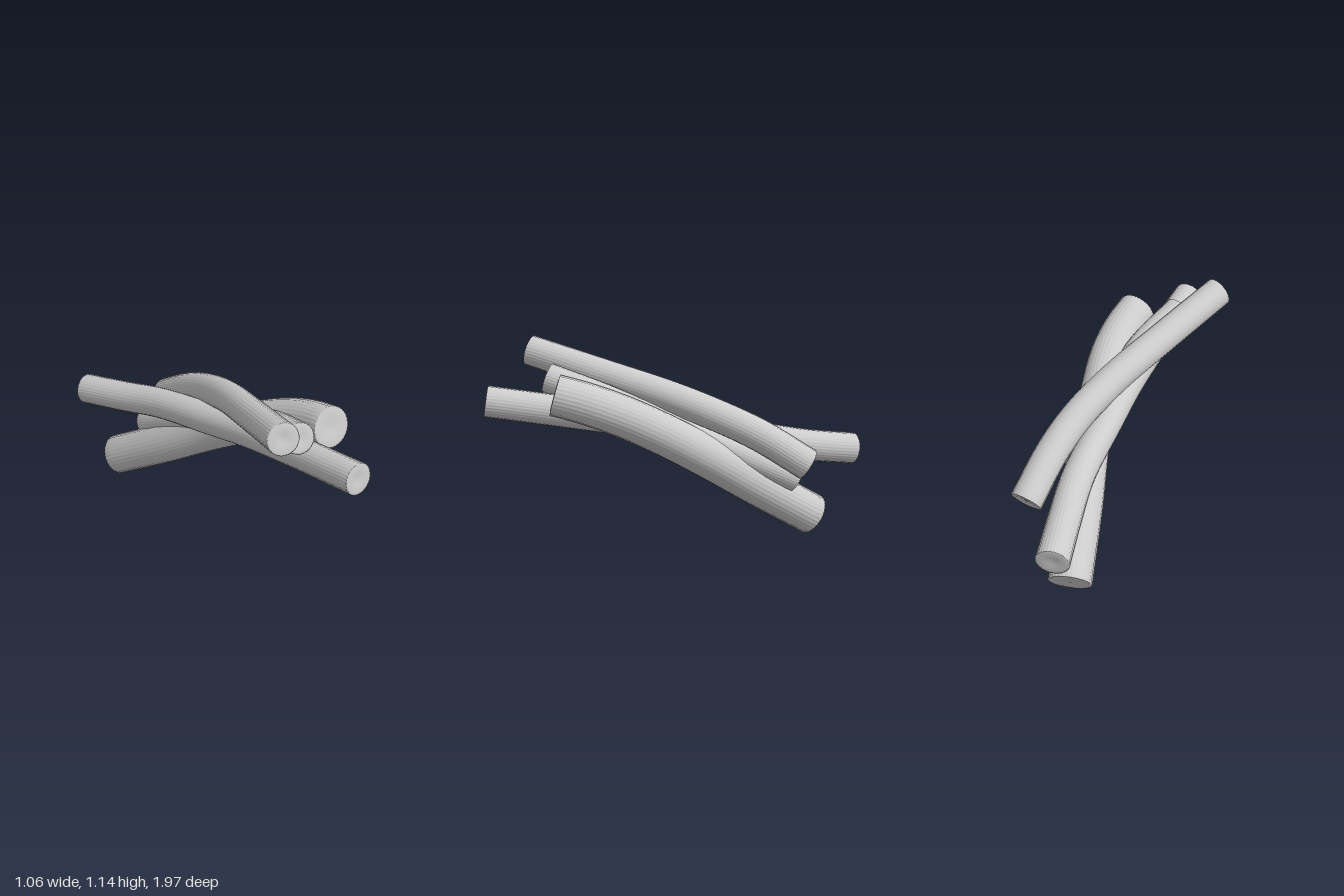
import * as THREE from 'three';

const SIDES = 96, STEPS = 28, RIBS = 32;
const material = new THREE.MeshStandardMaterial({ color: 0xcccccc });

// A bent log: rings swept along a curve, closed by softly dished ends
function makeLog(name, points, r0, r1) {
  const curve = new THREE.CatmullRomCurve3(points.map(p => new THREE.Vector3(...p)));
  const frames = curve.computeFrenetFrames(STEPS, false);

  // Each ring: [step along the curve, radius scale, outward offset, rib strength]
  const cap = [[0.12, -0.004], [0.4, 0], [0.75, 0.003], [0.93, 0]];
  const rings = [];
  cap.forEach(([s, o]) => rings.push([0, s, -o, s * 0.5]));
  for (let i = 0; i <= STEPS; i++) rings.push([i, 1, 0, 1]);
  [...cap].reverse().forEach(([s, o]) => rings.push([STEPS, s, o, s * 0.5]));

  const pos = [], idx = [];
  rings.forEach(([i, scale, offset, rib]) => {
    const t = i / STEPS;
    const centre = curve.getPointAt(t).addScaledVector(frames.tangents[i], offset);
    const r = THREE.MathUtils.lerp(r0, r1, t) * scale;
    // Bark ridges are strongest near the ends
    const depth = rib * (0.004 + 0.012 * Math.abs(2 * t - 1));
    for (let j = 0; j < SIDES; j++) {
      const a = (j / SIDES) * Math.PI * 2;
      const rr = r * (1 + depth * Math.cos(a * RIBS));
      const v = centre.clone()
        .addScaledVector(frames.normals[i], Math.cos(a) * rr)
        .addScaledVector(frames.binormals[i], Math.sin(a) * rr);
      pos.push(v.x, v.y, v.z);
    }
  });
  for (let i = 0; i < rings.length - 1; i++) {
    for (let j = 0; j < SIDES; j++) {
      const k = (j + 1) % SIDES;
      const a = i * SIDES + j, b = i * SIDES + k;
      const c = a + SIDES, d = b + SIDES;
      idx.push(a, b, c, b, d, c);
    }
  }
  // Centre points of the two ends
  const first = pos.length / 3, last = (rings.length - 1) * SIDES;
  pos.push(...curve.getPointAt(0).toArray(), ...curve.getPointAt(1).toArray());
  for (let j = 0; j < SIDES; j++) {
    const k = (j + 1) % SIDES;
    idx.push(first, k, j, first + 1, last + j, last + k);
  }

  const geometry = new THREE.BufferGeometry();
  geometry.setAttribute('position', new THREE.Float32BufferAttribute(pos, 3));
  geometry.setIndex(idx);
  geometry.computeVertexNormals();
  const mesh = new THREE.Mesh(geometry, material);
  mesh.name = name;
  return mesh;
}

export function createModel() {
  const group = new THREE.Group();
  group.name = 'logPile';
  group.add(
    // Paths run from the front end to the back end
    makeLog('topLog', [
      [0.03, 1.06, 0.81], [0.055, 0.945, 0.4], [0.075, 0.83, 0], [0.07, 0.73, -0.27],
      [0.04, 0.63, -0.48], [-0.02, 0.47, -0.73]], 0.084, 0.088),
    makeLog('innerLog', [
      [0.19, 0.935, 0.66], [0.185, 0.83, 0.35], [0.11, 0.68, 0.02],
      [-0.02, 0.53, -0.3], [-0.18, 0.35, -0.65]], 0.082, 0.076),
    makeLog('crossLog', [
      [0.375, 0.83, 0.95], [0.25, 0.765, 0.55], [0.12, 0.7, 0.17], [0.01, 0.645, -0.1],
      [-0.15, 0.575, -0.47], [-0.29, 0.52, -0.7], [-0.455, 0.475, -0.945]], 0.084, 0.088),
    makeLog('thickLog', [
      [0.42, 0.885, 0.555], [0.385, 0.84, 0.4], [0.32, 0.77, 0.23], [0.2, 0.655, 0.03],
      [0.07, 0.515, -0.18], [-0.13, 0.315, -0.44], [-0.34, 0.105, -0.73]], 0.11, 0.117)
  );
  return group;
}
